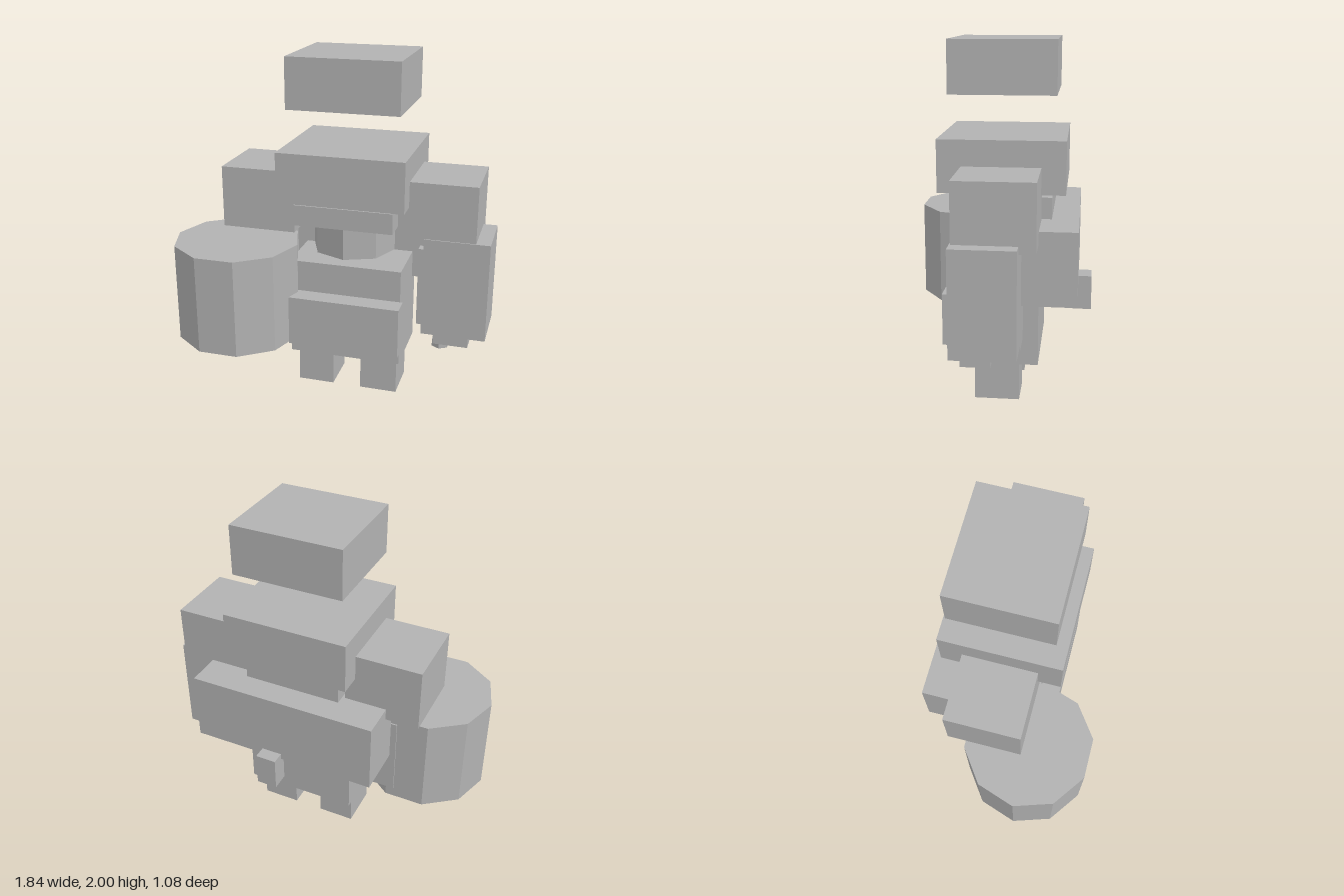
import * as THREE from 'three';

const stone = new THREE.MeshStandardMaterial({ color: 0xb2b2b2, flatShading: true });
stone.name = 'stone grey';

export function createModel() {
  const group = new THREE.Group();
  group.name = 'blockGolem';

  const add = (name, geometry, x, y, z) => {
    const mesh = new THREE.Mesh(geometry, stone);
    mesh.name = name;
    mesh.position.set(x, y, z);
    group.add(mesh);
    return mesh;
  };
  // box given by its lower and upper limits on each axis
  const box = (name, [x0, x1], [y0, y1], [z0, z1]) =>
    add(name, new THREE.BoxGeometry(x1 - x0, y1 - y0, z1 - z0),
      (x0 + x1) / 2, (y0 + y1) / 2, (z0 + z1) / 2);
  // upright prism between two heights
  const prism = (name, rTop, rBottom, sides, x, z, [y0, y1]) =>
    add(name, new THREE.CylinderGeometry(rTop, rBottom, y1 - y0, sides), x, (y0 + y1) / 2, z);

  // head stack
  box('floatingCap', [-0.22, 0.415], [1.715, 2], [-0.335, 0.24]);
  box('headBlock', [-0.265, 0.46], [1.2, 1.487], [-0.39, 0.295]);
  prism('headTaper', 0.19, 0.25, 8, 0.095, -0.05, [1.17, 1.205]);
  box('collar', [-0.19, 0.382], [1.05, 1.17], [-0.315, 0.22]);
  prism('neck', 0.245, 0.245, 8, 0.095, -0.05, [0.86, 1.05]);

  // torso
  box('torso', [-0.235, 0.425], [0.225, 0.81], [-0.25, 0.165]);
  box('bellyPlate', [-0.21, 0.44], [0.33, 0.625], [0.165, 0.28]);
  box('backPack', [-0.45, 0.645], [0.65, 1.052], [-0.463, -0.17]);
  box('backPeg', [0.1, 0.22], [0.49, 0.685], [-0.537, -0.434]);

  // legs
  box('rightLeg', [-0.205, 0.01], [0, 0.225], [-0.145, 0.105]);
  box('leftLeg', [0.18, 0.4], [0, 0.225], [-0.145, 0.105]);

  // shoulders and inner arms
  box('rightShoulder', [-0.64, -0.205], [0.985, 1.345], [-0.26, 0.165]);
  box('leftShoulder', [0.4, 0.835], [0.985, 1.345], [-0.26, 0.165]);
  box('rightInnerArm', [-0.485, -0.295], [0.405, 0.885], [-0.17, -0.03]);
  box('leftInnerArm', [0.485, 0.675], [0.405, 0.885], [-0.17, -0.03]);

  // left arm with hand and nozzle
  box('leftArm', [0.55, 0.915], [0.45, 1.025], [-0.172, 0.172]);
  box('leftHand', [0.615, 0.815], [0.372, 0.45], [-0.03, 0.128]);
  prism('handStub', 0.052, 0.052, 6, 0.648, 0.05, [0.33, 0.375]);

  // big ten-sided drum on the right arm
  prism('drum', 0.37, 0.37, 10, -0.55, 0.19, [0.34, 0.92]).rotation.y = Math.PI / 2;

  return group;
}
